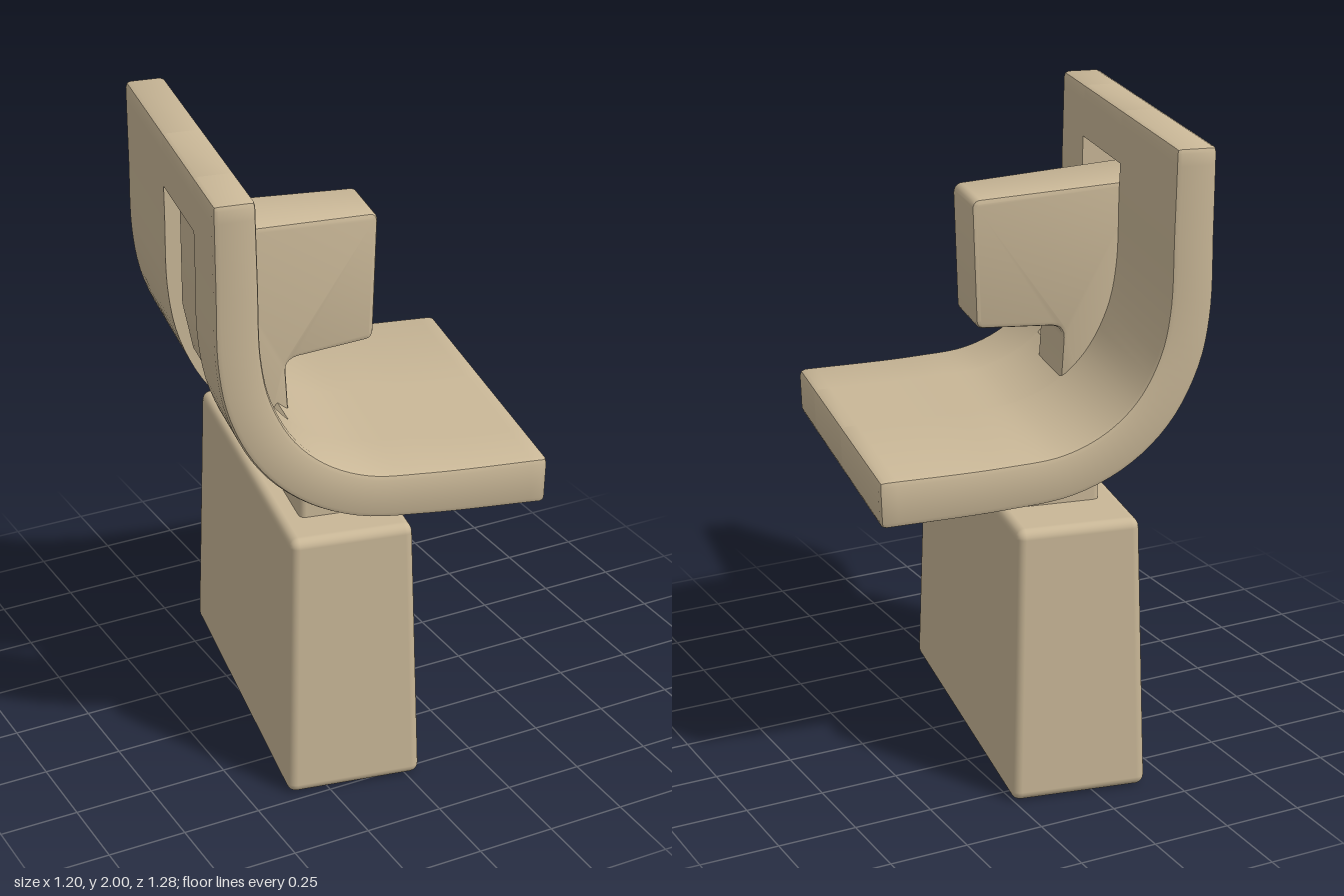
import * as THREE from 'three';
import { toCreasedNormals } from 'three/addons/utils/BufferGeometryUtils.js';
import { RoundedBoxGeometry } from 'three/addons/geometries/RoundedBoxGeometry.js';

const R = 0.018; // edge rounding of the bent slab
const HALF_W = 0.545;
const HALF_T = 0.07;

// Centre line of the bent slab, from the top of the back to the front of the seat
const spine = new THREE.CatmullRomCurve3([
  [-0.43, 2], [-0.427, 1.75], [-0.422, 1.5], [-0.392, 1.35], [-0.315, 1.2],
  [-0.2, 1.092], [-0.05, 1.025], [0.15, 1.003], [0.53, 0.99],
].map(([x, y]) => new THREE.Vector3(x, y, 0)));
const LENGTH = spine.getLength();
const SLOT = { top: 0.165, bottom: 0.9, w0: -0.05, w1: 0.315 };

// Evenly spaced stations between two distances along the slab
function stations(a, b, step = 0.035) {
  const n = Math.max(1, Math.round((b - a) / step));
  return Array.from({ length: n + 1 }, (_, i) => a + ((b - a) * i) / n);
}

// Pull a coordinate inside its rounded limits
const inset = (v, lo, hi) => Math.min(hi - R, Math.max(lo + R, v));

// One band of the slab: a grid box, edge-rounded and bent along the spine
function band(sList, wList) {
  const tList = [-HALF_T, -HALF_T + R, HALF_T - R, HALF_T];
  const g = new THREE.BoxGeometry(1, 1, 1, sList.length - 1, 3, wList.length - 1);
  const p = g.attributes.position;
  const pick = (list, f) => list[Math.round((f + 0.5) * (list.length - 1))];
  for (let i = 0; i < p.count; i++) {
    const v = new THREE.Vector3(pick(sList, p.getX(i)), pick(tList, p.getY(i)), pick(wList, p.getZ(i)));
    const core = new THREE.Vector3(
      inset(v.x, 0, LENGTH), inset(v.y, -HALF_T, HALF_T), inset(v.z, -HALF_W, HALF_W));
    const d = v.clone().sub(core);
    if (d.length() > R) v.copy(core).add(d.setLength(R));
    const k = v.x / LENGTH;
    const c = spine.getPointAt(k);
    const tan = spine.getTangentAt(k);
    const t = v.y * THREE.MathUtils.lerp(0.9, 1.08, k);
    p.setXYZ(i, c.x - tan.y * t, c.y + tan.x * t, v.z);
  }
  return toCreasedNormals(g, 0.6);
}

export function createModel() {
  const model = new THREE.Group();
  const stone = new THREE.MeshStandardMaterial({ color: 0xc9b797 });
  stone.name = 'sandstone';
  const add = (name, geometry, parent = model) => {
    const mesh = new THREE.Mesh(geometry, stone);
    mesh.name = name;
    parent.add(mesh);
    return mesh;
  };

  // Bent seat and back with a slot through the back
  const seat = new THREE.Group();
  seat.name = 'seatAndBack';
  model.add(seat);
  const topS = [0, R, ...stations(R, SLOT.top).slice(1)];
  const slotS = stations(SLOT.top, SLOT.bottom);
  const lowS = [...stations(SLOT.bottom, LENGTH - R), LENGTH];
  const allS = [...topS, ...slotS.slice(1), ...lowS.slice(1)];
  add('farSide', band(allS, [-HALF_W, -HALF_W + R, SLOT.w0]), seat);
  add('nearSide', band(allS, [SLOT.w1, HALF_W - R, HALF_W]), seat);
  add('slotTop', band(topS, [SLOT.w0, SLOT.w1]), seat);
  add('seatMiddle', band(lowS, [SLOT.w0, SLOT.w1]), seat);

  // Block standing in the slot and reaching over the seat
  const s = new THREE.Shape();
  s.moveTo(-0.435, 1.765);
  s.lineTo(0.085, 1.745);
  s.quadraticCurveTo(0.098, 1.745, 0.098, 1.73);
  s.lineTo(0.086, 1.375);
  s.quadraticCurveTo(0.086, 1.36, 0.07, 1.36);
  s.lineTo(-0.15, 1.346);
  s.quadraticCurveTo(-0.2, 1.34, -0.2, 1.29);
  s.lineTo(-0.19, 1.12);
  s.lineTo(-0.25, 1.095);
  s.lineTo(-0.335, 1.18);
  s.lineTo(-0.405, 1.31);
  s.lineTo(-0.435, 1.46);
  s.closePath();
  const bevel = 0.015;
  const block = new THREE.ExtrudeGeometry(s, {
    depth: 1, bevelEnabled: true, bevelThickness: bevel, bevelSize: bevel, bevelSegments: 2, curveSegments: 5,
  });
  // Narrow the block towards its free end
  const bp = block.attributes.position;
  for (let i = 0; i < bp.count; i++) {
    const f = THREE.MathUtils.clamp((bp.getX(i) + 0.45) / 0.56, 0, 1);
    const lo = THREE.MathUtils.lerp(-0.043, -0.066, f) + bevel;
    const hi = THREE.MathUtils.lerp(0.222, 0.157, f) - bevel;
    const z = bp.getZ(i);
    const over = z < 0 ? z : z > 1 ? z - 1 : 0;
    bp.setZ(i, lo + (hi - lo) * (z - over) + over);
  }
  add('slotBlock', toCreasedNormals(block, 0.6));

  // Tapered base
  const base = new RoundedBoxGeometry(0.43, 0.88, 1.15, 3, 0.03);
  const p = base.attributes.position;
  for (let i = 0; i < p.count; i++) {
    const f = p.getY(i) / 0.88 + 0.5;
    p.setX(i, p.getX(i) * (1 - 0.11 * f));
    p.setZ(i, p.getZ(i) * (1 - 0.05 * f));
  }
  add('base', base).position.set(-0.07, 0.44, -0.042);

  // Short neck joining the base and the seat
  add('neck', new RoundedBoxGeometry(0.3, 0.14, 0.76, 2, 0.02)).position.set(-0.045, 0.92, -0.015);

  model.rotation.y = -0.188;
  const root = new THREE.Group();
  root.name = 'chair';
  root.add(model);
  return root;
}
